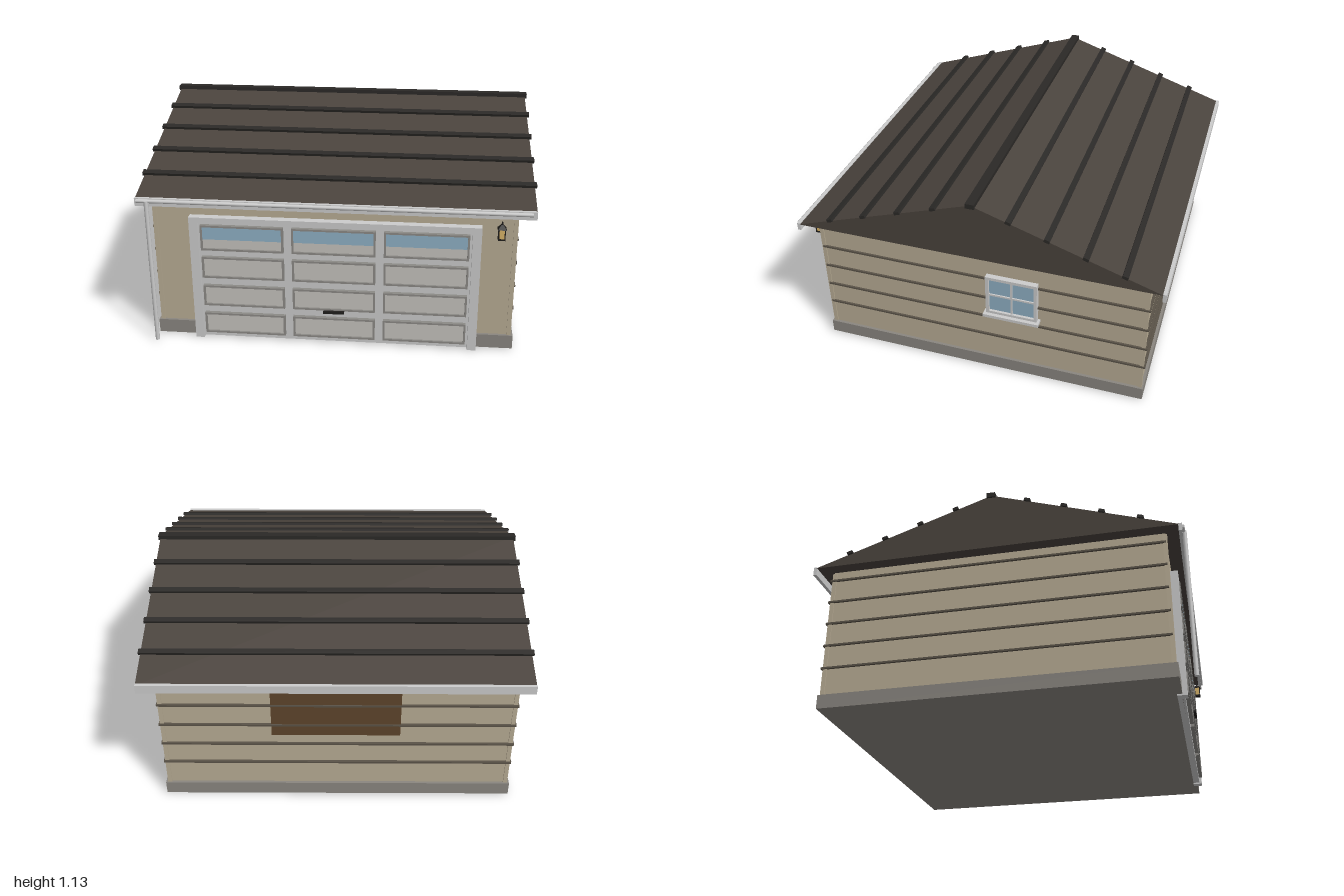
import * as THREE from 'three';

const mat = (color) => new THREE.MeshStandardMaterial({ color });
const M = {
  grey: mat(0xcccccc), wall: mat(0xb8ac94), groove: mat(0x5a5348), base: mat(0x8a8680),
  roof: mat(0x4a433d), rib: mat(0x2b2927), glass: mat(0x8fb0c4), wood: mat(0x5e452c),
  iron: mat(0x1f1d1b), amber: mat(0xd8b468), panel: mat(0xc4c2bd), edge: mat(0x8c8a86),
};

function add(parent, name, geometry, material, x = 0, y = 0, z = 0) {
  const mesh = new THREE.Mesh(geometry, material);
  mesh.name = name;
  mesh.position.set(x, y, z);
  parent.add(mesh);
  return mesh;
}

// Box given by its lower and upper limits on each axis
function box(parent, name, material, [x0, x1], [y0, y1], [z0, z1]) {
  return add(parent, name, new THREE.BoxGeometry(x1 - x0, y1 - y0, z1 - z0), material,
    (x0 + x1) / 2, (y0 + y1) / 2, (z0 + z1) / 2);
}

// Rectangular border, centred, facing +z, starting at z = 0
function frameGeometry(w, h, border, depth) {
  const rect = (P, a, b) => {
    const p = new P();
    p.moveTo(-a, -b); p.lineTo(a, -b); p.lineTo(a, b); p.lineTo(-a, b); p.closePath();
    return p;
  };
  const shape = rect(THREE.Shape, w / 2, h / 2);
  shape.holes.push(rect(THREE.Path, w / 2 - border, h / 2 - border));
  return new THREE.ExtrudeGeometry(shape, { depth, bevelEnabled: false });
}

function group(parent, name) {
  const g = new THREE.Group();
  g.name = name;
  parent.add(g);
  return g;
}

const CX = -0.008, CZ = -0.012; // centre of the building

function buildWalls(root) {
  const g = group(root, 'walls');
  box(g, 'foundation', M.base, [CX - 0.93, CX + 0.93], [0.008, 0.082], [-0.905, 0.885]);
  box(g, 'wallBlock', M.wall, [CX - 0.915, CX + 0.915], [0.08, 0.8], [-0.89, 0.87]);
  // Corner boards
  for (const sx of [-1, 1]) for (const z of [-0.886, 0.866]) {
    add(g, 'cornerBoard', new THREE.BoxGeometry(0.022, 0.71, 0.022), M.wall, CX + sx * 0.909, 0.435, z);
  }
  // Siding joints on the sides and the back
  for (const y of [0.232, 0.36, 0.488, 0.616, 0.745]) {
    for (const sx of [-1, 1]) {
      add(g, 'sidingJoint', new THREE.BoxGeometry(0.014, 0.01, 1.77), M.groove, CX + sx * 0.919, y, -0.016);
    }
    add(g, 'sidingJoint', new THREE.BoxGeometry(1.85, 0.01, 0.014), M.groove, CX, y, -0.899);
  }
  box(g, 'backPanel', M.wood, [-0.335, 0.335], [0.42, 0.755], [-0.901, -0.885]);
}

function buildRoof(root) {
  const g = group(root, 'roof');
  const half = 0.957, eave = 0.797, ridge = 1.115;
  // Solid gable prism running along x
  const s = new THREE.Shape();
  s.moveTo(-half, eave); s.lineTo(half, eave); s.lineTo(0, ridge); s.closePath();
  const prism = new THREE.ExtrudeGeometry(s, { depth: 1.98, bevelEnabled: false });
  prism.translate(0, 0, -0.99);
  prism.rotateY(Math.PI / 2);
  add(g, 'gableRoof', prism, M.roof, 0, 0, CZ);
  // Ribs lying on both slopes, with a cap on the ridge
  const pitch = Math.atan2(ridge - eave, half);
  for (const side of [-1, 1]) for (let i = 1; i <= 4; i++) {
    const d = i * 0.192;
    const rib = add(g, 'roofRib', new THREE.BoxGeometry(2, 0.016, 0.03), M.rib,
      0, ridge - d * Math.tan(pitch) + 0.006, CZ + side * d);
    rib.rotation.x = side * pitch;
  }
  box(g, 'ridgeCap', M.rib, [-1, 1], [1.102, 1.128], [CZ - 0.025, CZ + 0.021]);
  // Fascia boards and front gutter
  box(g, 'backFascia', M.grey, [-0.99, 0.99], [0.757, 0.803], [-0.98, -0.962]);
  box(g, 'frontFascia', M.grey, [-0.99, 0.99], [0.762, 0.803], [0.937, 0.955]);
  const gutter = add(g, 'gutter', new THREE.CylinderGeometry(0.01, 0.01, 1.95, 10), M.grey, -0.005, 0.79, 0.957);
  gutter.rotation.z = Math.PI / 2;
  add(g, 'downspout', new THREE.CylinderGeometry(0.011, 0.011, 0.785, 10), M.grey, -0.928, 0.4, 0.963);
}

function buildDoor(root) {
  const g = group(root, 'garageDoor');
  for (const sx of [-1, 1]) {
    add(g, 'doorJamb', new THREE.BoxGeometry(0.045, 0.69, 0.05), M.grey, sx * 0.713, 0.345, 0.885);
  }
  box(g, 'doorHeader', M.grey, [-0.6905, 0.6905], [0.662, 0.69], [0.86, 0.91]);
  box(g, 'doorSlab', M.grey, [-0.69, 0.69], [0.008, 0.662], [0.86, 0.896]);
  const rows = [[0.036, 0.152], [0.196, 0.312], [0.356, 0.474], [0.512, 0.65]];
  rows.forEach(([y0, y1], r) => {
    const y = (y0 + y1) / 2, h = y1 - y0;
    for (const x of [-0.466, 0, 0.466]) {
      add(g, 'panelBorder', frameGeometry(0.424, h, 0.01, 0.022), M.edge, x, y, 0.894);
      box(g, 'doorPanel', M.panel, [x - 0.203, x + 0.203], [y0 + 0.009, y1 - 0.009], [0.89, 0.906]);
      if (r === 3) box(g, 'doorGlass', M.glass, [x - 0.203, x + 0.203], [0.572, y1 - 0.009], [0.9, 0.911]);
    }
  });
  box(g, 'doorHandle', M.iron, [-0.053, 0.053], [0.184, 0.198], [0.895, 0.928]);
}

function buildWindow(root) {
  const g = group(root, 'sideWindow');
  g.position.set(0.9, 0.525, -0.193);
  g.rotation.y = Math.PI / 2;
  add(g, 'windowFrame', frameGeometry(0.276, 0.24, 0.017, 0.036), M.grey);
  add(g, 'windowGlass', new THREE.BoxGeometry(0.25, 0.215, 0.016), M.glass, 0, 0, 0.014);
  add(g, 'verticalBar', new THREE.BoxGeometry(0.01, 0.21, 0.014), M.grey, 0, 0, 0.023);
  add(g, 'horizontalBar', new THREE.BoxGeometry(0.245, 0.01, 0.013), M.grey, 0, 0, 0.023);
  add(g, 'windowSill', new THREE.BoxGeometry(0.3, 0.017, 0.055), M.grey, 0, -0.126, 0.0275);
}

function buildLantern(root) {
  const g = group(root, 'lantern');
  g.position.set(0.828, 0, 0.928);
  add(g, 'wallPlate', new THREE.BoxGeometry(0.028, 0.036, 0.012), M.iron, 0, 0.672, -0.053);
  add(g, 'arm', new THREE.BoxGeometry(0.012, 0.012, 0.045), M.iron, 0, 0.672, -0.03);
  add(g, 'lampBase', new THREE.BoxGeometry(0.036, 0.008, 0.036), M.iron, 0, 0.647, 0);
  add(g, 'lampGlass', new THREE.BoxGeometry(0.028, 0.05, 0.028), M.amber, 0, 0.676, 0);
  for (const sx of [-1, 1]) for (const sz of [-1, 1]) {
    add(g, 'lampPost', new THREE.BoxGeometry(0.005, 0.05, 0.005), M.iron, sx * 0.015, 0.676, sz * 0.015);
  }
  const cap = add(g, 'lampCap', new THREE.CylinderGeometry(0.008, 0.031, 0.022, 4), M.iron, 0, 0.711, 0);
  cap.geometry = cap.geometry.toNonIndexed();
  cap.geometry.computeVertexNormals();
  cap.rotation.y = Math.PI / 4;
  add(g, 'lampFinial', new THREE.CylinderGeometry(0.003, 0.005, 0.016, 8), M.iron, 0, 0.729, 0);
}

export function createModel() {
  const root = new THREE.Group();
  root.name = 'garage';
  buildWalls(root);
  buildRoof(root);
  buildDoor(root);
  buildWindow(root);
  buildLantern(root);
  return root;
}
